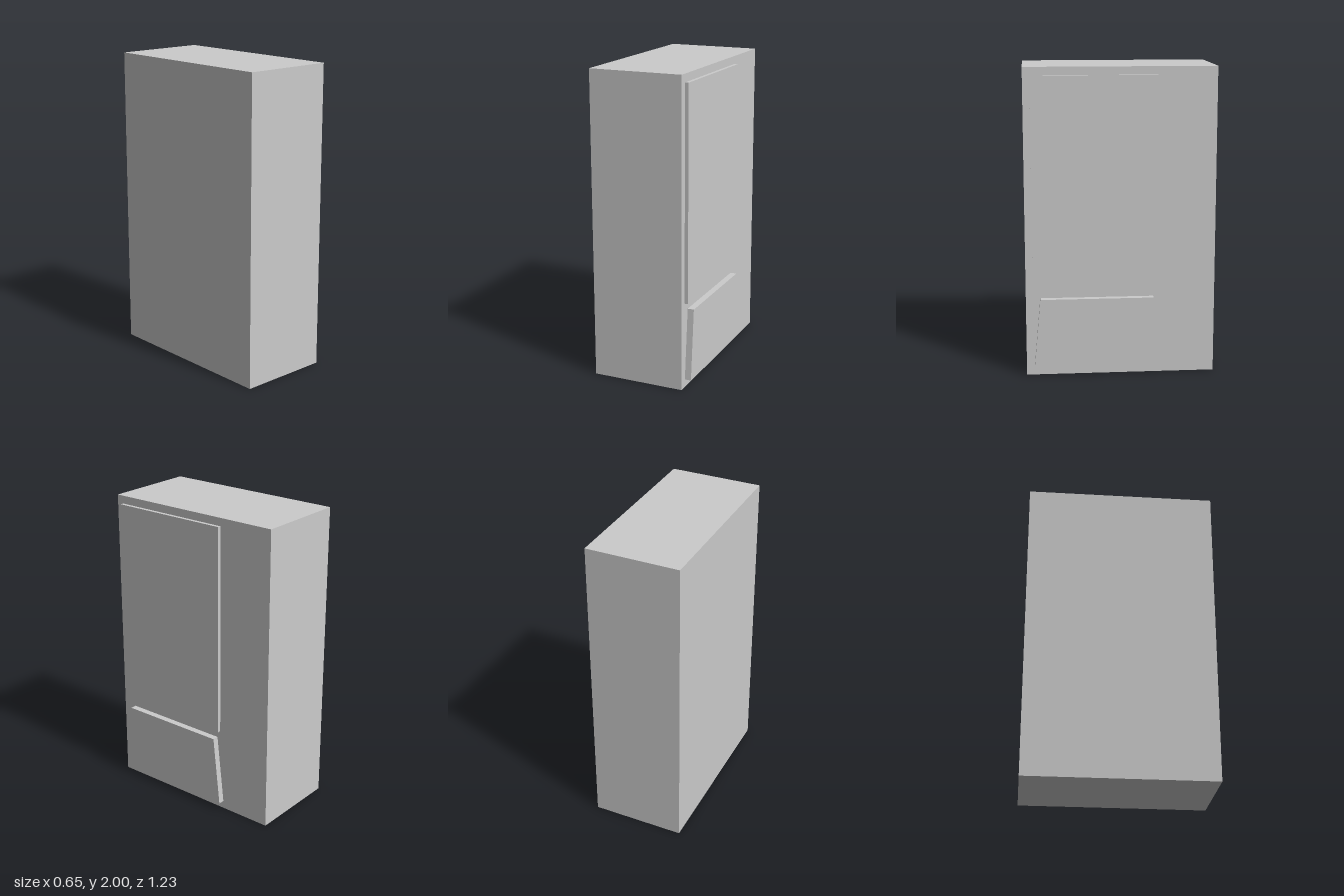
import * as THREE from 'three';

const SIDE = 0.284; // x of the cabinet wall that carries the panels

export function createModel() {
  const group = new THREE.Group();
  const material = new THREE.MeshStandardMaterial({ color: 0xcccccc, flatShading: true });

  const add = (name, geometry) => {
    const mesh = new THREE.Mesh(geometry, material);
    mesh.name = name;
    group.add(mesh);
    return mesh;
  };

  // Raised panel on the +x wall, outlined by [z, y] corners
  const addPanel = (name, corners, depth) => {
    const shape = new THREE.Shape(corners.map(([z, y]) => new THREE.Vector2(-z, y)));
    const geometry = new THREE.ExtrudeGeometry(shape, { depth, bevelEnabled: false });
    geometry.rotateY(Math.PI / 2);
    add(name, geometry).position.x = SIDE;
  };

  // Main cabinet
  add('cabinet', new THREE.BoxGeometry(0.611, 2, 1.226)).position.set(SIDE - 0.611 / 2, 1, 0);

  // Tall rectangular panel
  addPanel('upperPanel', [[0.567, 0.567], [-0.235, 0.567], [-0.235, 1.948], [0.567, 1.948]], 0.023);

  // Thicker tapered panel below it
  addPanel('lowerPanel', [[0.562, 0.052], [-0.262, 0.052], [-0.212, 0.517], [0.52, 0.517]], 0.042);

  return group;
}
